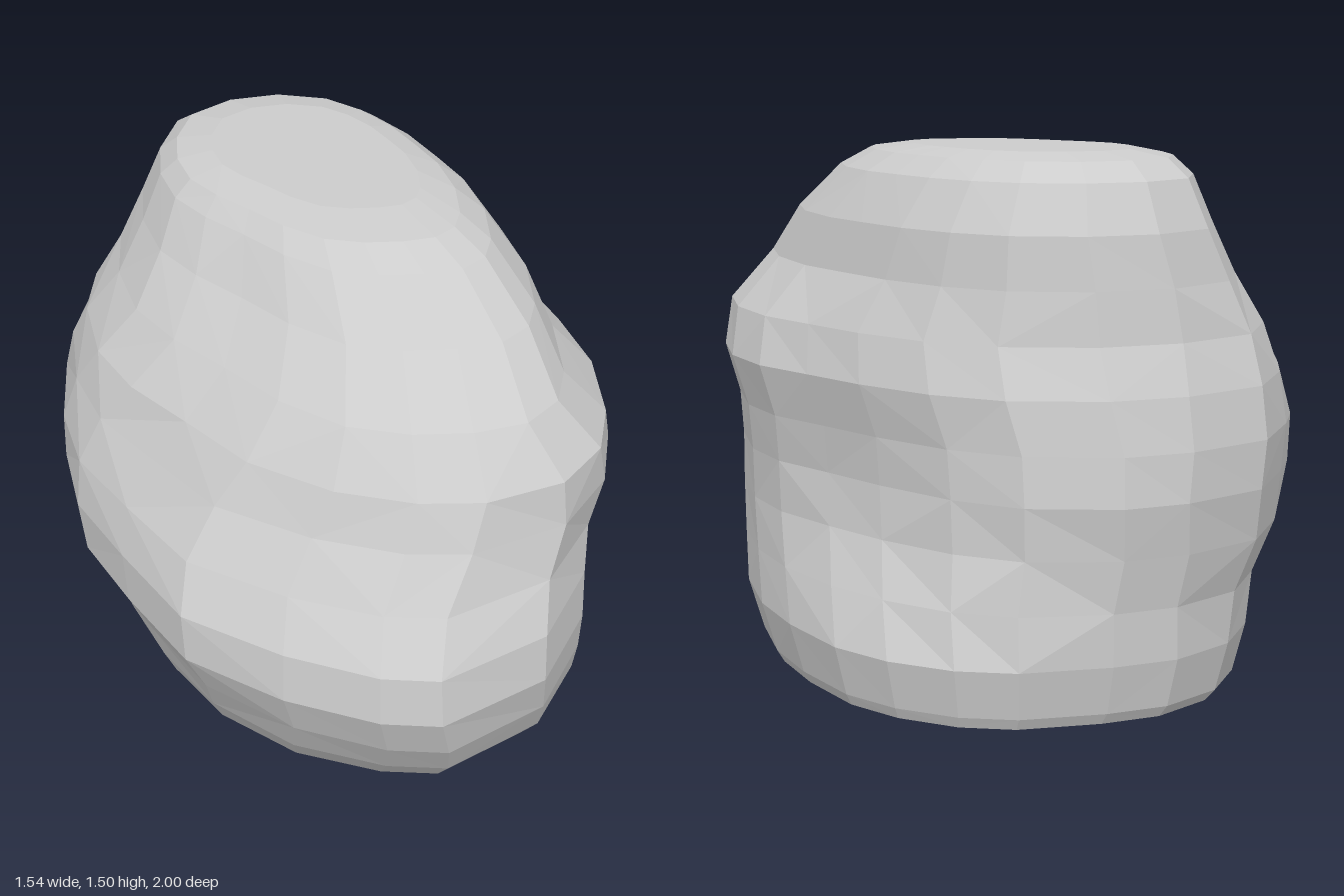
import * as THREE from 'three';

// Plan outlines as x, z pairs, running back -> left -> front -> right
const foot = [-.15, -.97, .1, -.99, .26, -.94, .42, -.82, .54, -.66, .64, -.4, .7, -.15, .72, .15, .68, .45, .55, .69, .28, .86,
  .11, .84, -.14, .74, -.36, .55, -.5, .32, -.59, .1, -.63, -.15, -.64, -.35, -.6, -.58, -.5, -.78, -.33, -.92];
const belly = [-.17, -1, .08, -.95, .25, -.81, .41, -.59, .53, -.39, .65, -.2, .71, 0, .72, .28, .68, .55, .54, .82, .24, .99,
  .08, .97, -.17, .86, -.44, .68, -.6, .4, -.73, .15, -.77, -.1, -.76, -.4, -.7, -.55, -.58, -.8, -.35, -.95];
const crown = [-.1, -.86, .06, -.82, .17, -.73, .26, -.61, .33, -.47, .39, -.34, .43, -.17, .43, -.01, .405, .08, .34, .14, .24, .16,
  .12, .16, 0, .13, -.12, .04, -.22, -.07, -.32, -.17, -.4, -.28, -.44, -.42, -.44, -.57, -.39, -.73, -.26, -.83];
const outlines = [foot, belly, crown];

// Layers: height, x range, z range, blend (0 foot, 1 belly, 2 crown)
const layers = [
  [0, -.43, .52, -.8, .56, 0],
  [.04, -.57, .66, -.95, .7, 0],
  [.07, -.6, .68, -.965, .74, 0],
  [.2, -.64, .72, -.99, .86, 0],
  [.34, -.67, .72, -.97, .95, .35],
  [.48, -.75, .72, -.98, 1, .75],
  [.62, -.77, .72, -1, .98, 1],
  [.75, -.77, .73, -.98, .88, 1.17],
  [.89, -.74, .77, -.95, .79, 1.45],
  [1.02, -.69, .745, -.89, .74, 1.72],
  [1.16, -.59, .62, -.87, .62, 1.95],
  [1.3, -.515, .55, -.85, .43, 2],
  [1.43, -.46, .44, -.78, .26, 2],
  [1.48, -.41, .36, -.7, .17, 2],
  [1.5, -.31, .26, -.6, .02, 2],
];

// Blend two outlines and fit the ring to the layer's ranges
function ring([y, x0, x1, z0, z1, blend]) {
  const k = Math.min(1, Math.floor(blend));
  const flat = outlines[k].map((v, i) => THREE.MathUtils.lerp(v, outlines[k + 1][i], blend - k));
  const xs = flat.filter((_, i) => i % 2 === 0);
  const zs = flat.filter((_, i) => i % 2 === 1);
  const fit = (vals, lo, hi) => {
    const min = Math.min(...vals), max = Math.max(...vals);
    return vals.map(v => THREE.MathUtils.mapLinear(v, min, max, lo, hi));
  };
  const fx = fit(xs, x0, x1), fz = fit(zs, z0, z1);
  return fx.map((x, i) => [x, y, fz[i]]);
}

function boulderGeometry() {
  const rings = layers.map(ring);
  const n = rings[0].length;
  const positions = rings.flat(2);
  const index = [];
  for (let r = 0; r < rings.length - 1; r++) {
    for (let j = 0; j < n; j++) {
      const a = r * n + j, b = r * n + (j + 1) % n, c = a + n, d = b + n;
      // Alternate the diagonals for an irregular faceted surface
      if ((r * 2 + j) % 3) index.push(a, c, d, a, d, b);
      else index.push(a, c, b, b, c, d);
    }
  }
  // Flat underside and top
  const cap = (r, up) => {
    const [y, x0, x1, z0, z1] = layers[r];
    const centre = positions.length / 3;
    positions.push((x0 + x1) / 2, y, (z0 + z1) / 2);
    for (let j = 0; j < n; j++) {
      const a = r * n + j, b = r * n + (j + 1) % n;
      index.push(centre, up ? b : a, up ? a : b);
    }
  };
  cap(0, false);
  cap(rings.length - 1, true);

  const geometry = new THREE.BufferGeometry();
  geometry.setAttribute('position', new THREE.Float32BufferAttribute(positions, 3));
  geometry.setIndex(index);
  const faceted = geometry.toNonIndexed();
  faceted.computeVertexNormals();
  return faceted;
}

export function createModel() {
  const group = new THREE.Group();
  group.name = 'rock';
  const boulder = new THREE.Mesh(
    boulderGeometry(),
    new THREE.MeshStandardMaterial({ color: 0xcccccc, flatShading: true }),
  );
  boulder.name = 'boulder';
  group.add(boulder);
  return group;
}
